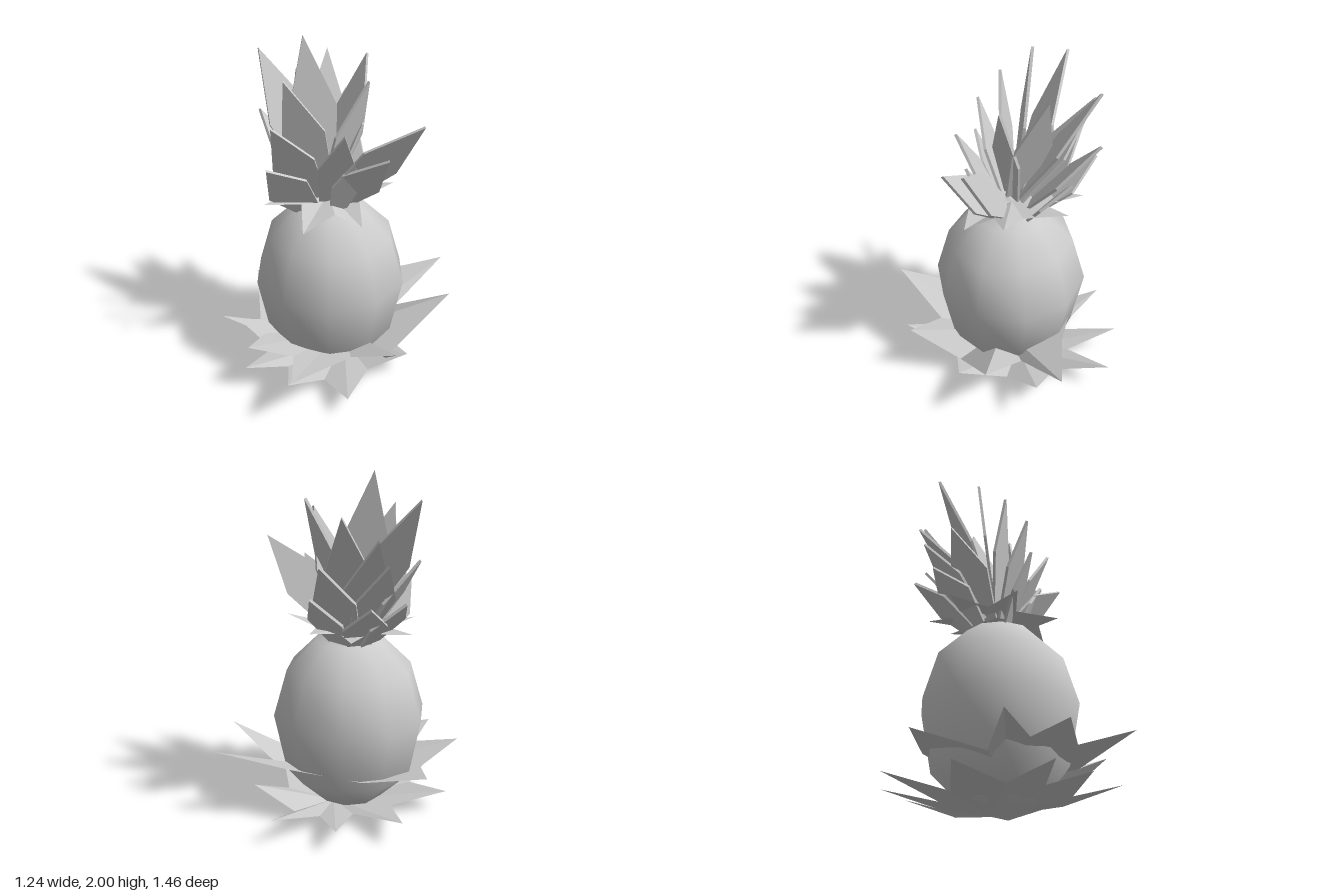
import * as THREE from 'three';

const smooth = new THREE.MeshStandardMaterial({ color: 0xcccccc });
const flat = new THREE.MeshStandardMaterial({ color: 0xcccccc, flatShading: true, side: THREE.DoubleSide });

// Jagged sheet: a fan from a centre to alternating tips and valleys
function starSheet(name, center, ring) {
  const pos = [];
  ring.forEach((p, i) => pos.push(...center, ...ring[(i + 1) % ring.length], ...p));
  const geo = new THREE.BufferGeometry();
  geo.setAttribute('position', new THREE.Float32BufferAttribute(pos, 3));
  geo.computeVertexNormals();
  const mesh = new THREE.Mesh(geo, flat);
  mesh.name = name;
  return mesh;
}

// Thin pointed plate from base to tip, its broad face turned outward
function leaf(base, tip, width, angle) {
  const along = tip.clone().sub(base);
  const len = along.length(), w = width / 2;
  const shape = new THREE.Shape([
    [-w * 0.55, 0], [w * 0.55, 0], [w, len * 0.5], [0, len], [-w, len * 0.5],
  ].map(([x, y]) => new THREE.Vector2(x, y)));
  const geo = new THREE.ExtrudeGeometry(shape, { depth: 0.016, bevelEnabled: false });
  const yAxis = along.normalize();
  const out = new THREE.Vector3(Math.sin(angle), 0, Math.cos(angle));
  const xAxis = new THREE.Vector3().crossVectors(yAxis, out).normalize();
  const zAxis = new THREE.Vector3().crossVectors(xAxis, yAxis);
  geo.applyMatrix4(new THREE.Matrix4().makeBasis(xAxis, yAxis, zAxis).setPosition(base));
  const mesh = new THREE.Mesh(geo, flat);
  mesh.name = 'crownLeaf';
  return mesh;
}

export function createModel() {
  const model = new THREE.Group();
  model.name = 'pineapple';

  // Ten-sided fruit
  const profile = [[0, 0.015], [0.2, 0.045], [0.385, 0.23], [0.452, 0.58], [0.37, 0.86], [0.2, 1.03], [0, 1.1]];
  const fruit = new THREE.Mesh(
    new THREE.LatheGeometry(profile.map(([r, y]) => new THREE.Vector2(r, y)), 10), smooth);
  fruit.name = 'fruit';
  fruit.position.x = -0.008;
  model.add(fruit);

  // Lower skirt of leaves under the fruit
  model.add(starSheet('lowerSkirt', [0.03, 0.0, -0.1], [
    [0.52, 0.14, -0.07], [0.36, 0.07, 0.12], [0.46, 0.14, 0.47], [0.2, 0.06, 0.34],
    [0.11, 0.13, 0.57], [-0.04, 0.07, 0.38], [-0.19, 0.13, 0.6], [-0.24, 0.06, 0.3],
    [-0.55, 0.13, 0.26], [-0.34, 0.06, 0.0], [-0.62, 0.16, -0.23], [-0.24, 0.06, -0.22],
    [-0.41, 0.16, -0.54], [-0.13, 0.07, -0.38], [-0.1, 0.18, -0.72], [0.04, 0.05, -0.42],
    [0.3, 0.16, -0.5], [0.28, 0.04, -0.24],
  ]));

  // Upper skirt around the lower body, dipping towards the left side
  model.add(starSheet('upperSkirt', [0.08, 0.16, -0.02], [
    [0.42, 0.12, 0.02], [0.62, 0.37, 0.23], [0.34, 0.25, 0.27], [0.27, 0.34, 0.73],
    [0.09, 0.28, 0.49], [-0.12, 0.34, 0.64], [-0.18, 0.28, 0.42], [-0.44, 0.35, 0.51],
    [-0.34, 0.21, 0.28], [-0.61, 0.34, -0.01], [-0.34, 0.31, -0.25],
    [0.03, 0.34, -0.46], [0.36, 0.44, -0.73], [0.26, 0.24, -0.34], [0.61, 0.44, -0.39],
  ]));

  // Ragged collar under the crown
  model.add(starSheet('crownCollar', [-0.02, 1.1, 0], [
    [0.28, 1.01, 0.09], [0.15, 1.09, 0.17], [0.09, 1.04, 0.38], [-0.06, 1.1, 0.2],
    [-0.2, 1.12, 0.36], [-0.2, 1.11, 0.12], [-0.43, 1.13, 0.06], [-0.22, 1.12, -0.08],
    [-0.3, 1.14, -0.3], [-0.1, 1.12, -0.18], [-0.07, 1.16, -0.38], [0.08, 1.12, -0.18],
    [0.28, 1.17, -0.22], [0.17, 1.1, -0.04],
  ]));

  // Crown leaves: tip x, y, z, width, optional facing angle
  const tips = [
    [-0.14, 1.37, 0.4, 0.25, 0.5], [-0.13, 1.6, 0.36, 0.25, 0.45], [-0.16, 1.81, 0.21, 0.25, 0.5],
    [-0.19, 2.0, 0, 0.27, 0.785], [0.5, 1.59, -0.16, 0.25, 1.0], [0.43, 1.46, 0.07, 0.24, 0.85],
    [0.22, 1.58, 0.18, 0.22, 0.8], [0.23, 1.4, 0.1, 0.16, 0.9], [0.17, 1.79, -0.1, 0.22, 1.45],
    [0.03, 1.87, -0.29, 0.26], [-0.08, 1.36, -0.38, 0.24], [-0.22, 1.57, -0.45, 0.25],
    [-0.3, 1.82, -0.37, 0.25], [-0.43, 1.7, -0.24, 0.25], [-0.44, 1.56, -0.17, 0.26],
    [-0.46, 1.34, -0.05, 0.27], [-0.49, 1.88, 0.02, 0.27, -2.0], [-0.44, 1.55, 0.08, 0.25],
    [-0.42, 1.35, -0.28, 0.25],
  ];
  const crown = new THREE.Group();
  crown.name = 'crown';
  for (const [x, y, z, width, facing] of tips) {
    // Low leaves start further out, tall ones near the middle
    const radial = Math.atan2(x + 0.04, z + 0.02);
    const reach = y < 1.45 ? 0.13 : y < 1.65 ? 0.08 : 0.02;
    const base = new THREE.Vector3(
      -0.04 + Math.sin(radial) * reach, 1.05 + Math.max(0, y - 1.4) * 0.25, Math.cos(radial) * reach);
    crown.add(leaf(base, new THREE.Vector3(x, y, z), width, facing ?? radial));
  }
  model.add(crown);
  return model;
}
